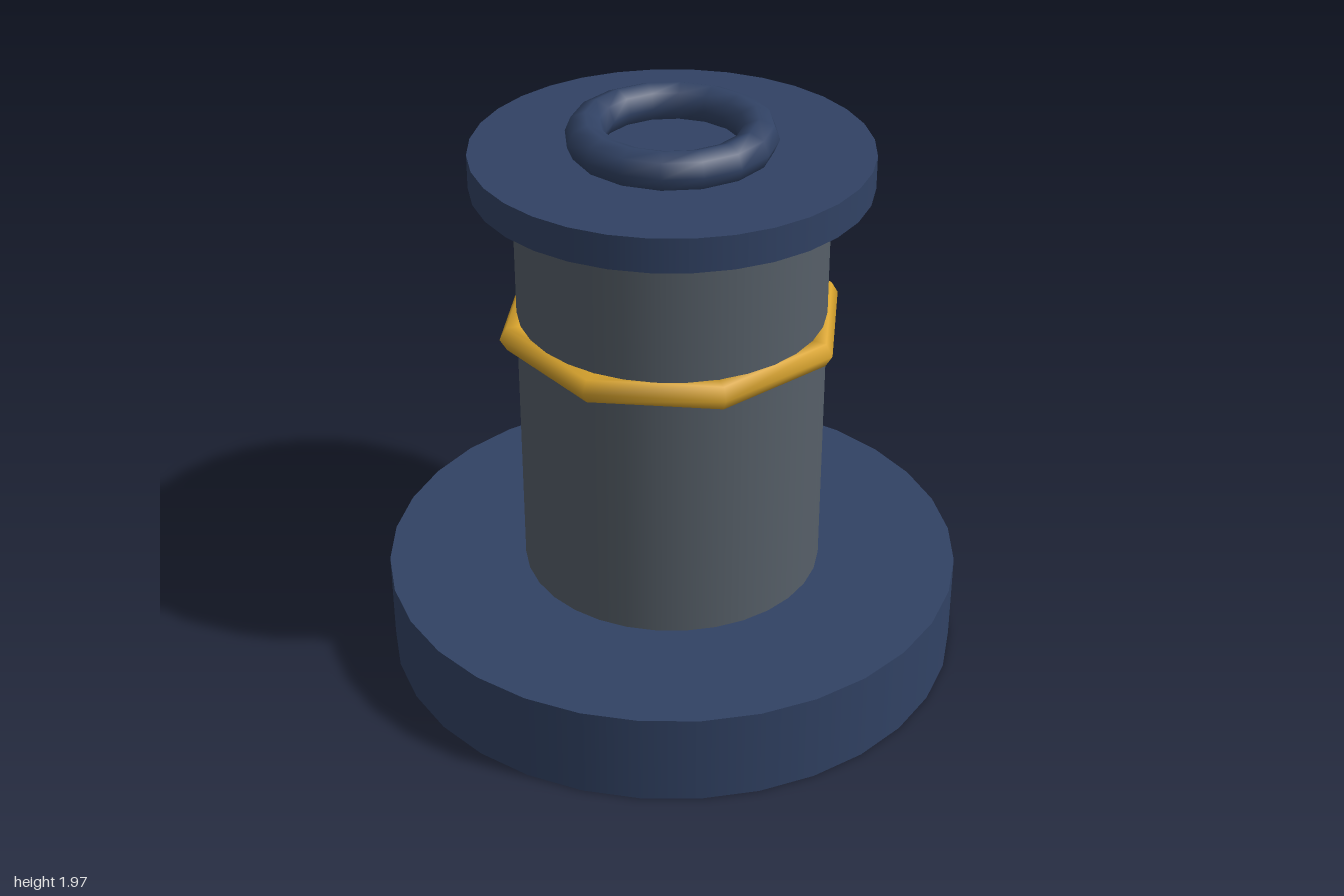
import * as THREE from 'three';

export function createModel() {
  const model = new THREE.Group();
  const material = (name, color) => {
    const m = new THREE.MeshStandardMaterial({ color });
    m.name = name;
    return m;
  };
  const navy = material('navy', 0x314264);
  const grey = material('slateGrey', 0x565f68);
  const gold = material('gold', 0xdaa52e);

  const add = (name, geometry, mat, y) => {
    const mesh = new THREE.Mesh(geometry, mat);
    mesh.name = name;
    mesh.position.y = y;
    model.add(mesh);
  };
  // Upright disc or column between two heights
  const disc = (name, radius, bottom, top, mat) =>
    add(name, new THREE.CylinderGeometry(radius, radius, top - bottom, 32), mat, (bottom + top) / 2);
  // Ring lying flat around the y axis
  const ring = (name, radius, tube, sides, segments, y, mat) =>
    add(name, new THREE.TorusGeometry(radius, tube, sides, segments).rotateX(Math.PI / 2), mat, y);

  disc('base', 1, 0, 0.32, navy);
  disc('column', 0.52, 0.32, 1.745, grey);
  disc('cap', 0.66, 1.745, 1.86, navy);

  // Eight-sided band round the column, rounded ring on the cap
  ring('band', 0.545, 0.047, 6, 8, 1.245, gold);
  ring('capRing', 0.28, 0.067, 8, 16, 1.903, navy);

  return model;
}
